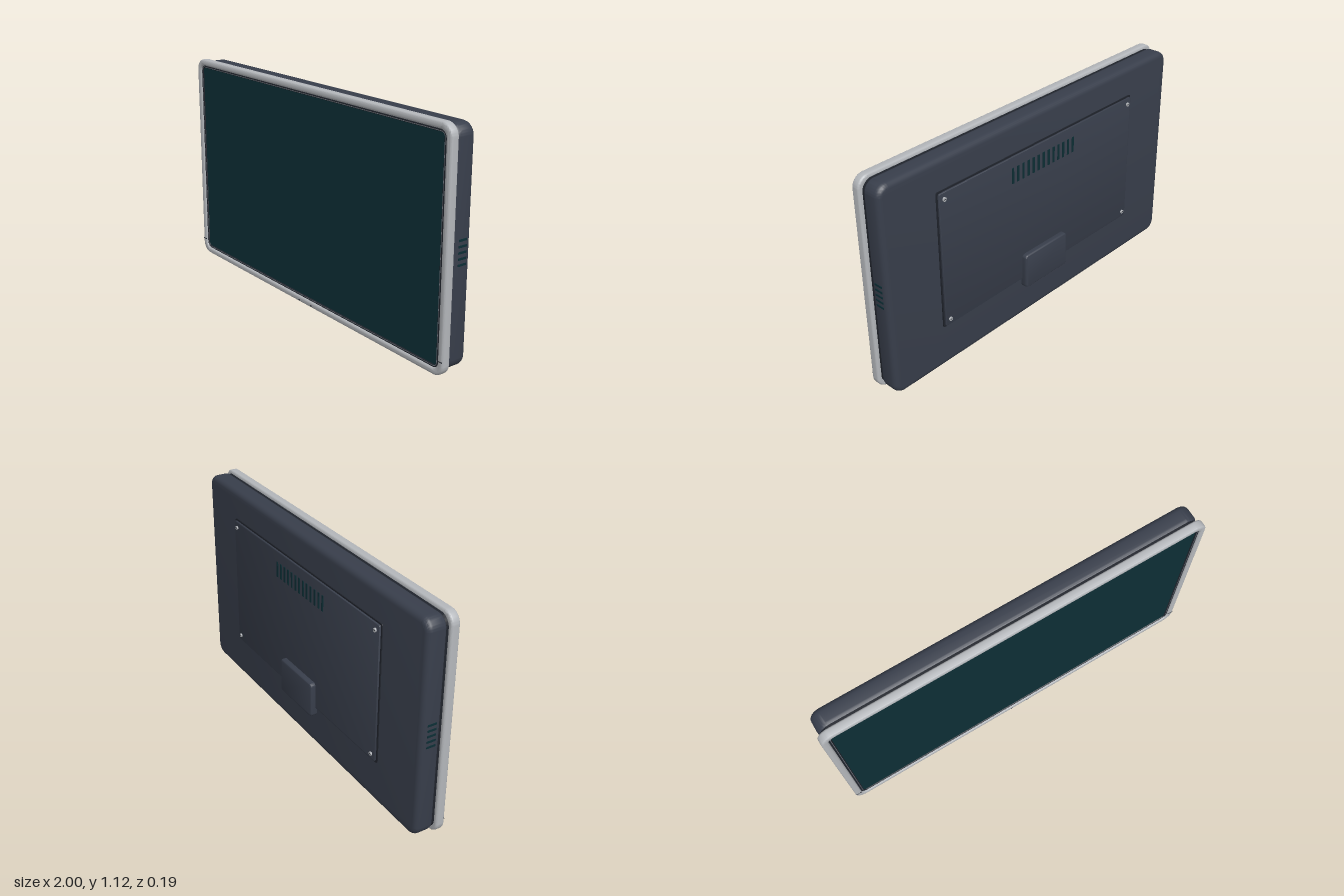
import * as THREE from 'three';
import { toCreasedNormals } from 'three/addons/utils/BufferGeometryUtils.js';

const CY = 0.565; // height of the screen centre

function material(name, color) {
  const m = new THREE.MeshStandardMaterial({ color });
  m.name = name;
  return m;
}

// Trace a rounded rectangle centred on the origin
function roundRect(path, w, h, r) {
  const x = w / 2, y = h / 2;
  path.moveTo(-x + r, -y);
  path.lineTo(x - r, -y);
  path.absarc(x - r, -y + r, r, -Math.PI / 2, 0);
  path.lineTo(x, y - r);
  path.absarc(x - r, y - r, r, 0, Math.PI / 2);
  path.lineTo(-x + r, y);
  path.absarc(-x + r, y - r, r, Math.PI / 2, Math.PI);
  path.lineTo(-x, -y + r);
  path.absarc(-x + r, -y + r, r, Math.PI, Math.PI * 1.5);
  return path;
}

// Rounded slab between two depths, optionally with a rounded opening
function slab(w, h, r, z0, z1, bevel, hole) {
  const shape = roundRect(new THREE.Shape(), w, h, r);
  if (hole) shape.holes.push(roundRect(new THREE.Path(), ...hole));
  const geo = new THREE.ExtrudeGeometry(shape, {
    depth: z1 - z0 - 2 * bevel, bevelEnabled: bevel > 0, bevelThickness: bevel,
    bevelSize: bevel, bevelOffset: -bevel, bevelSegments: 5, curveSegments: 8,
  });
  geo.translate(0, 0, z0 + bevel);
  return toCreasedNormals(geo, 0.6);
}

export function createModel() {
  const group = new THREE.Group();
  group.name = 'flatDisplay';
  const shell = material('slate shell', 0x383e4b);
  const silver = material('silver frame', 0xb4b7bb);
  const dark = material('dark seam', 0x20242c);
  const glass = material('dark teal glass', 0x0d2e35);
  const trimGrey = material('trim grey', 0x6c727b);

  function add(name, geo, mat, x = 0, y = 0, z = 0) {
    const mesh = new THREE.Mesh(geo, mat);
    mesh.name = name;
    mesh.position.set(x, y, z);
    group.add(mesh);
    return mesh;
  }

  // Rear shell, seam and front frame
  add('rearShell', slab(1.975, 1.102, 0.06, -0.055, 0.049, 0.028), shell, 0, CY);
  add('seam', slab(1.96, 1.09, 0.055, 0.03, 0.065, 0), dark, 0, CY);
  add('frontFrame', slab(2, 1.124, 0.06, 0.052, 0.097, 0.011, [1.93, 1.058, 0.035]), silver, 0, CY);

  // Inner bezel, thin trim line and screen
  add('innerBezel', slab(1.932, 1.06, 0.036, 0.06, 0.09, 0.004, [1.9, 1.034, 0.015]), dark, 0, CY);
  add('trimLine', slab(1.914, 1.046, 0.024, 0.086, 0.0905, 0, [1.908, 1.04, 0.021]), trimGrey, 0, CY);
  add('screen', slab(1.902, 1.036, 0.015, 0.06, 0.085, 0), glass, 0, CY);

  // Fine joints near the bottom of the frame
  for (const s of [-1, 1]) {
    add('frameJoint', new THREE.BoxGeometry(0.03, 0.004, 0.002), dark, s * 0.981, 0.08, 0.097);
    add('bottomMark', new THREE.BoxGeometry(0.012, 0.006, 0.002), dark, s * 0.05, 0.014, 0.0965);
  }

  // Service panel on a dark backing, held by four screws
  add('panelBacking', slab(1.362, 0.724, 0.01, -0.06, -0.05, 0), dark, 0, 0.603);
  add('servicePanel', slab(1.346, 0.708, 0.01, -0.069, -0.05, 0.002), shell, 0, 0.603);
  for (const x of [-0.645, 0.645]) {
    for (const y of [0.28, 0.925]) {
      const screw = add('screw', new THREE.CylinderGeometry(0.01, 0.01, 0.008, 16), silver, x, y, -0.072);
      screw.rotation.x = Math.PI / 2;
      add('screwSlot', new THREE.BoxGeometry(0.013, 0.003, 0.001), dark, x, y, -0.0762);
    }
  }

  // Connector cover
  add('connectorCover', slab(0.304, 0.19, 0.018, -0.097, -0.055, 0.01), shell, 0, 0.295);

  // Rear vents
  for (let i = -6; i <= 6; i++) {
    add('rearVent', new THREE.BoxGeometry(0.013, 0.082, 0.004), glass, i * 0.0355, 0.86, -0.07);
  }

  // Side vents
  for (const s of [-1, 1]) {
    for (let i = 0; i < 5; i++) {
      add('sideVent', new THREE.BoxGeometry(0.004, 0.01, 0.046), glass, s * 0.988, 0.505 + i * 0.0278, -0.003);
    }
  }
  return group;
}
